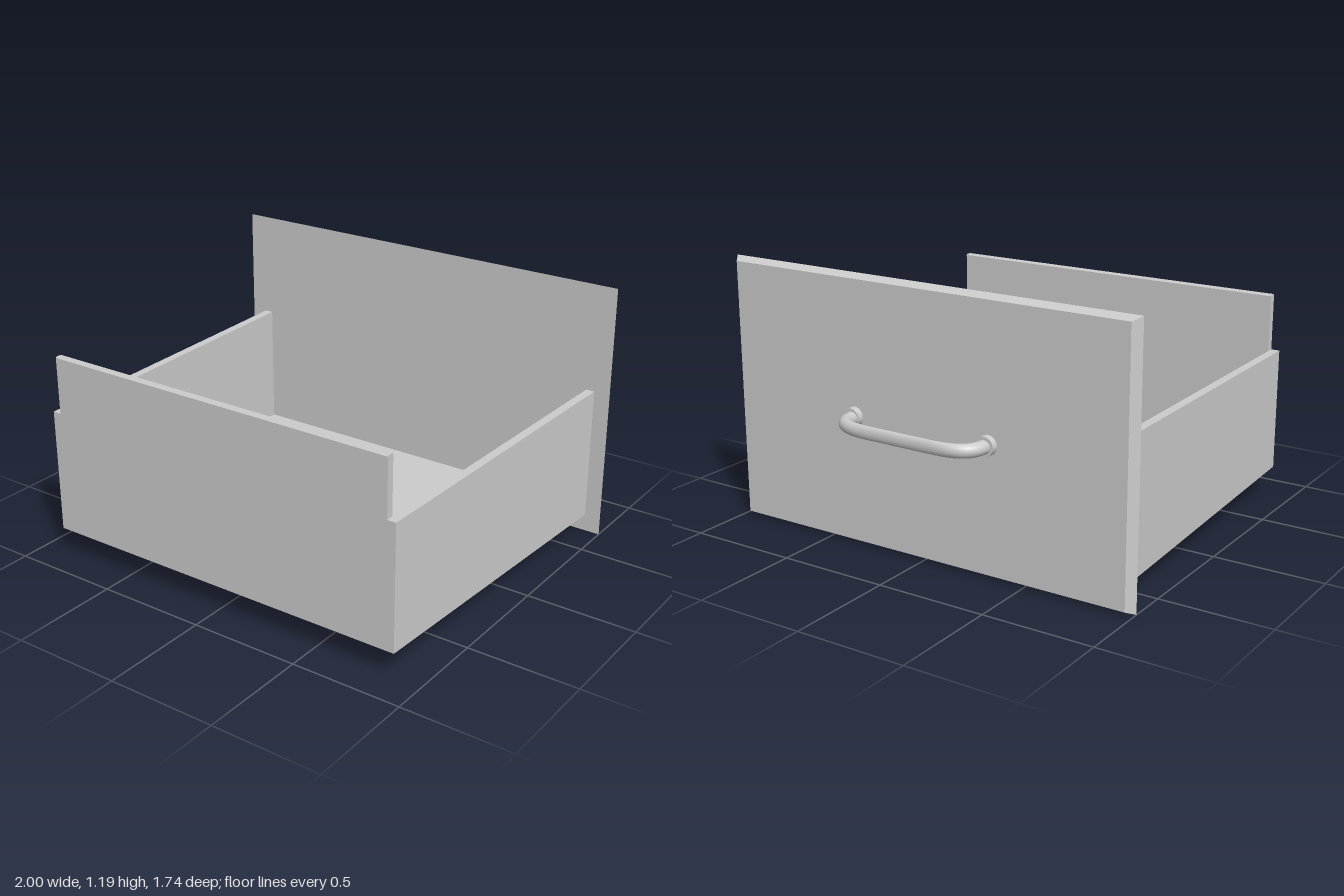
import * as THREE from 'three';

const material = new THREE.MeshStandardMaterial({ color: 0xcccccc });
const Z_PANEL = -0.675, Z_END = 0.865; // extent of the drawer box

function addMesh(group, name, geometry) {
  const mesh = new THREE.Mesh(geometry, material);
  mesh.name = name;
  group.add(mesh);
  return mesh;
}

// Box whose two ends are rectangles [x0, x1, y0, y1, z]; a has the lower z
function taperedBox(a, b) {
  const geo = new THREE.BoxGeometry(1, 1, 1);
  const p = geo.attributes.position;
  for (let i = 0; i < p.count; i++) {
    const e = p.getZ(i) < 0 ? a : b;
    p.setXYZ(i, p.getX(i) < 0 ? e[0] : e[1], p.getY(i) < 0 ? e[2] : e[3], e[4]);
  }
  geo.computeVertexNormals();
  return geo;
}

// Sweep an ellipse along a curve in the xz plane; it gets thinner mid-way
function handleGeometry(curve, height, endDepth, midDepth, steps = 64, sides = 20) {
  const pos = [], index = [];
  for (let i = 0; i <= steps; i++) {
    const t = i / steps;
    const c = curve.getPointAt(t), d = curve.getTangentAt(t);
    const k = THREE.MathUtils.smoothstep(Math.min(t, 1 - t), 0.05, 0.34);
    const depth = THREE.MathUtils.lerp(endDepth, midDepth, k);
    for (let j = 0; j < sides; j++) {
      const a = (j / sides) * Math.PI * 2;
      const s = Math.cos(a) * depth;
      pos.push(c.x - d.z * s, c.y + Math.sin(a) * height, c.z + d.x * s);
      if (i < steps) {
        const j2 = (j + 1) % sides;
        const p = i * sides + j, q = i * sides + j2;
        index.push(p, p + sides, q, q, p + sides, q + sides);
      }
    }
  }
  const geo = new THREE.BufferGeometry();
  geo.setAttribute('position', new THREE.Float32BufferAttribute(pos, 3));
  geo.setIndex(index);
  geo.computeVertexNormals();
  return geo;
}

export function createModel() {
  const drawer = new THREE.Group();
  drawer.name = 'drawer';

  // Face panel with chamfered outer edge
  addMesh(drawer, 'facePanel', taperedBox(
    [-0.97, 0.97, 0.018, 1.172, -0.715], [-1, 1, 0, 1.19, Z_PANEL]));

  // Side walls, converging away from the face panel
  for (const s of [1, -1]) {
    const span = (inner, outer) => (s > 0 ? [inner, outer] : [-outer, -inner]);
    addMesh(drawer, s > 0 ? 'leftWall' : 'rightWall', taperedBox(
      [...span(0.885, 0.925), 0.08, 0.695, Z_PANEL],
      [...span(0.845, 0.885), 0.12, 0.687, Z_END]));
  }

  // Floor, sloping up slightly
  addMesh(drawer, 'floor', taperedBox(
    [-0.885, 0.885, 0.08, 0.125, Z_PANEL], [-0.845, 0.845, 0.12, 0.165, Z_END]));

  // Taller end wall with a fine bevel along its top
  const profile = new THREE.Shape();
  profile.moveTo(0.83, 0.125);
  profile.lineTo(Z_END, 0.12);
  profile.lineTo(Z_END, 0.945);
  profile.lineTo(Z_END - 0.005, 0.95);
  profile.lineTo(0.835, 0.95);
  profile.lineTo(0.83, 0.945);
  const wall = new THREE.ExtrudeGeometry(profile, { depth: 1.69, bevelEnabled: false });
  wall.rotateY(-Math.PI / 2).translate(0.845, 0, 0);
  addMesh(drawer, 'endWall', wall);

  // Pull handle: bowed grip on two round bases
  const handle = new THREE.Group();
  handle.name = 'handle';
  const y = 0.578;
  const v = (x, z) => new THREE.Vector3(x, y, z);
  const path = new THREE.CurvePath();
  path.add(new THREE.CubicBezierCurve3(
    v(-0.335, -0.725), v(-0.335, -0.815), v(-0.29, -0.853), v(-0.16, -0.856)));
  path.add(new THREE.LineCurve3(v(-0.16, -0.856), v(0.16, -0.856)));
  path.add(new THREE.CubicBezierCurve3(
    v(0.16, -0.856), v(0.29, -0.853), v(0.335, -0.815), v(0.335, -0.725)));
  addMesh(handle, 'grip', handleGeometry(path, 0.03, 0.031, 0.015));
  for (const x of [-0.338, 0.338]) {
    const base = addMesh(handle, 'handleBase', new THREE.CylinderGeometry(0.041, 0.043, 0.03, 24));
    base.rotation.x = -Math.PI / 2;
    base.position.set(x, y + 0.002, -0.727);
  }
  drawer.add(handle);
  return drawer;
}
